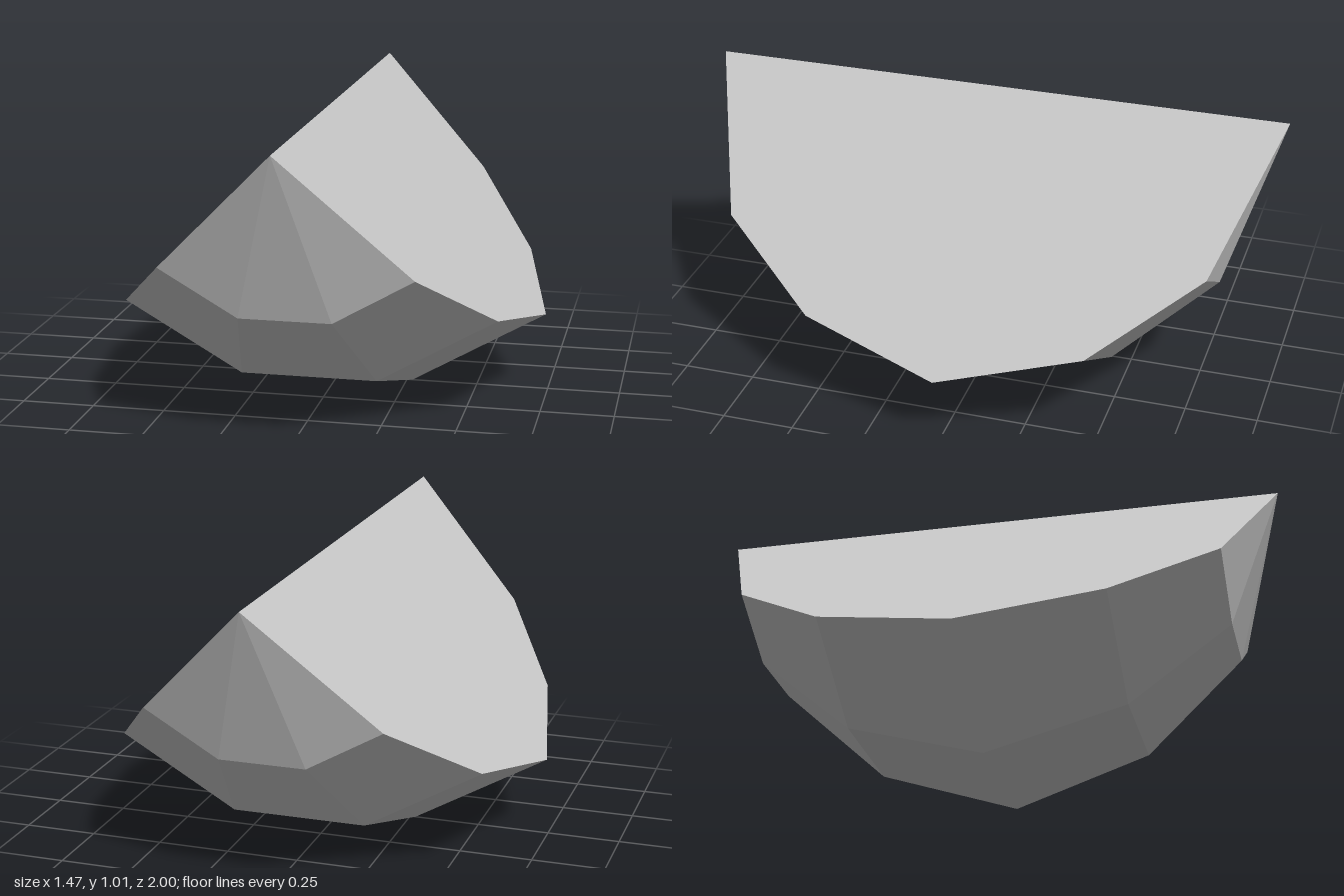
import * as THREE from 'three';

// Cross-section stations along the wedge axis: z position and radius
const STATIONS = [
  [-1, 0], [-0.825, 0.567], [-0.48, 0.89], [0, 1.0425],
  [0.48, 0.89], [0.828, 0.585], [1, 0],
];
const AXIS_Y = 1.007;
const ANGLES = [-45, -15, 15, 45].map(THREE.MathUtils.degToRad); // measured from straight down

const point = (i, j) => {
  const [z, r] = STATIONS[i];
  return [r * Math.sin(ANGLES[j]), AXIS_Y - r * Math.cos(ANGLES[j]), z];
};

// Unshared corners give each facet its own flat normal
function facets(name, triangles, material) {
  const geometry = new THREE.BufferGeometry();
  geometry.setAttribute('position', new THREE.Float32BufferAttribute(triangles.flat(2), 3));
  geometry.computeVertexNormals();
  const mesh = new THREE.Mesh(geometry, material);
  mesh.name = name;
  return mesh;
}

export function createModel() {
  const group = new THREE.Group();
  group.name = 'wedgeSlice';
  const gray = new THREE.MeshStandardMaterial({ name: 'light gray', color: 0xc6c6c6, flatShading: true });
  const last = STATIONS.length - 1;

  // Faceted outer skin, closing to a point at each end
  const skin = [];
  for (let i = 0; i < last; i++) {
    for (let j = 0; j < ANGLES.length - 1; j++) {
      const a = point(i, j), b = point(i, j + 1), c = point(i + 1, j + 1), d = point(i + 1, j);
      if (i < last - 1) skin.push([a, b, c]);
      else skin.push([a, b, c]);
      if (i > 0 && i < last - 1) skin.push([a, c, d]);
      if (i === 0) skin[skin.length - 1] = [a, c, d];
    }
  }
  group.add(facets('outerSkin', skin, gray));

  // Flat cut faces meeting at the top ridge
  const leftCut = [], rightCut = [];
  for (let i = 1; i < last; i++) {
    leftCut.push([point(0, 3), point(i + 1, 3), point(i, 3)]);
    rightCut.push([point(0, 0), point(i, 0), point(i + 1, 0)]);
  }
  group.add(facets('leftCutFace', leftCut, gray), facets('rightCutFace', rightCut, gray));
  return group;
}
